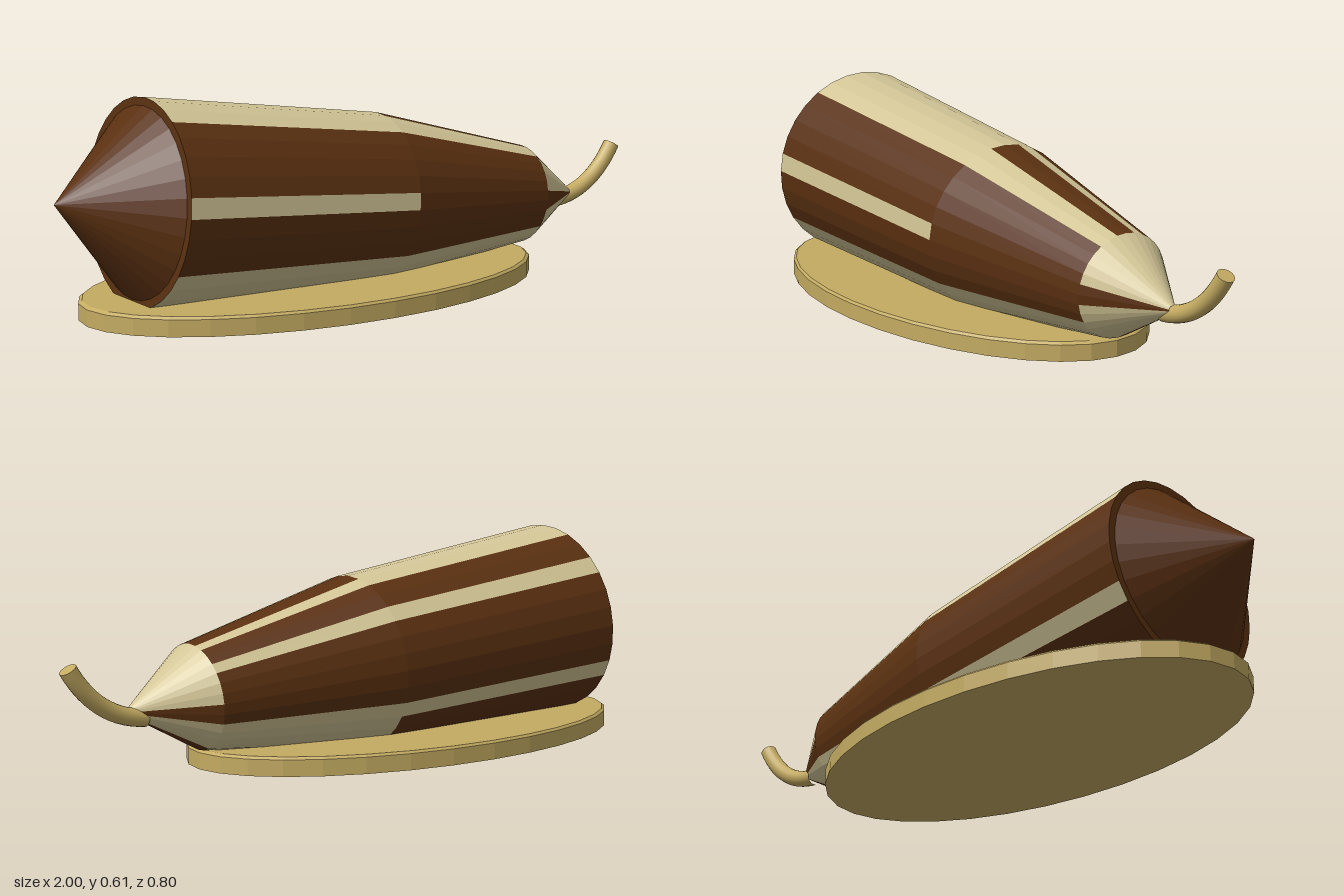
import * as THREE from 'three';

const brown = new THREE.MeshStandardMaterial({ name: 'dark brown', color: 0x5a3010 });
const cream = new THREE.MeshStandardMaterial({ name: 'cream', color: 0xd2c596 });
const gold = new THREE.MeshStandardMaterial({ name: 'golden tan', color: 0xc4ab62 });

const SIDES = 32;
const STEP = (Math.PI * 2) / SIDES;

function flat(geometry) {
  const g = geometry.toNonIndexed();
  g.computeVertexNormals();
  return g;
}

function addMesh(parent, name, geometry, material) {
  const mesh = new THREE.Mesh(geometry, material);
  mesh.name = name;
  parent.add(mesh);
  return mesh;
}

// A strip of columns of a cone section; column 0 starts at the top and counts toward +z
function addStrip(parent, name, material, [u0, r0], [u1, r1], from, to) {
  const g = new THREE.CylinderGeometry(r1, r0, u1 - u0, to - from, 1, true,
    from * STEP - Math.PI / 2, (to - from) * STEP);
  g.translate(0, (u0 + u1) / 2, 0);
  addMesh(parent, name, flat(g), material);
}

// A full section: the listed column runs are brown, the gaps between them cream
function addSection(parent, name, a, b, darkRuns) {
  darkRuns.forEach(([from, to], i) => {
    const next = i + 1 < darkRuns.length ? darkRuns[i + 1][0] : darkRuns[0][0] + SIDES;
    addStrip(parent, name + 'DarkStripe', brown, a, b, from, to);
    if (next > to) addStrip(parent, name + 'LightStripe', cream, a, b, to, next);
  });
}

export function createModel() {
  const model = new THREE.Group();
  model.name = 'stripedBodyOnBase';

  // Oval base with a slightly bevelled upper edge
  const profile = [[0, 0], [1, 0], [1, 0.047], [0.985, 0.054], [0, 0.054]]
    .map(([r, y]) => new THREE.Vector2(r, y));
  const baseGeometry = new THREE.LatheGeometry(profile, SIDES);
  baseGeometry.scale(0.735, 1, 0.398);
  baseGeometry.translate(-0.175, 0, 0);
  addMesh(model, 'ovalBase', flat(baseGeometry), gold);

  // Body along a tilted axis; each ring is [position along axis, radius]
  const body = new THREE.Group();
  body.name = 'body';
  body.position.y = 0.256;
  body.rotation.z = -Math.PI / 2 - THREE.MathUtils.degToRad(5);
  model.add(body);

  const rear = [-0.753, 0.288];
  const middle = [0.02, 0.25];
  const front = [0.579, 0.15];
  const tip = [0.787, 0.012];
  addSection(body, 'rearBody', rear, middle, [[-16, -11], [-10, -5], [-4, -2], [3, 7], [8, 11]]);
  addSection(body, 'frontBody', middle, front, [[-10, -5], [-4, -2], [-1, 1], [3, 11]]);
  addSection(body, 'nose', front, tip, [[-16, -14], [-10, -8], [7, 9]]);

  // Rear cone and the narrow rim around it
  addStrip(body, 'rearCone', brown, [-1.003, 0], [-0.753, 0.265], 0, SIDES);
  const rim = new THREE.RingGeometry(0.265, 0.288, SIDES);
  rim.rotateX(Math.PI / 2);
  rim.translate(0, -0.753, 0);
  addMesh(body, 'rearRim', rim, brown);

  // Curved stem with a closed end
  const path = new THREE.QuadraticBezierCurve3(
    new THREE.Vector3(0.74, 0.168, -0.01),
    new THREE.Vector3(0.89, 0.18, -0.01),
    new THREE.Vector3(0.975, 0.322, -0.01));
  addMesh(model, 'stem', new THREE.TubeGeometry(path, 14, 0.025, 16), gold);
  const cap = addMesh(model, 'stemEnd', new THREE.CircleGeometry(0.025, 16), gold);
  cap.position.copy(path.getPoint(1));
  cap.quaternion.setFromUnitVectors(new THREE.Vector3(0, 0, 1), path.getTangent(1));

  return model;
}
